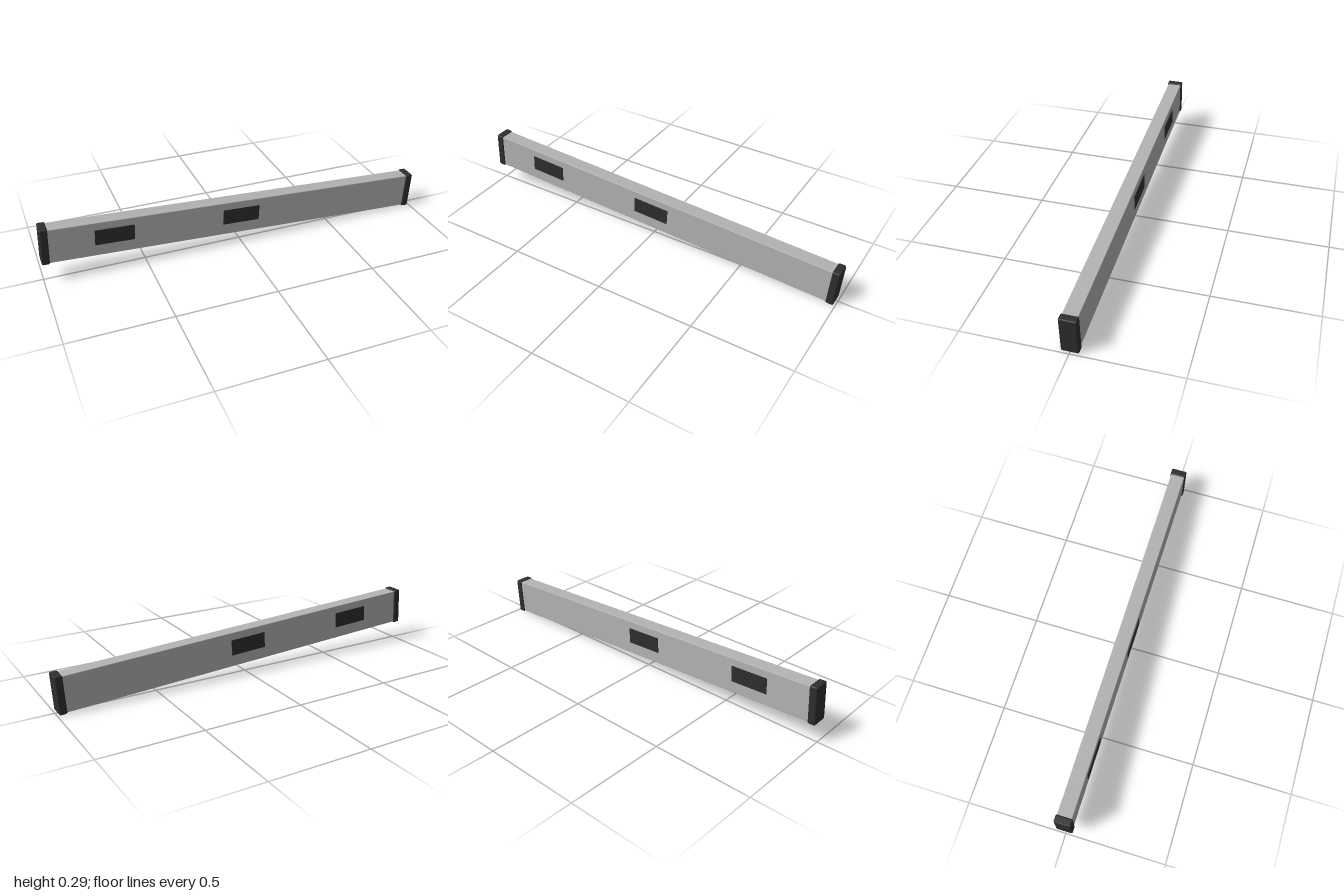
import * as THREE from 'three';
import { RoundedBoxGeometry } from 'three/addons/geometries/RoundedBoxGeometry.js';

const LENGTH = 1.993, HEIGHT = 0.189, DEPTH = 0.082, CAP = 0.038;

export function createModel() {
  const aluminium = new THREE.MeshStandardMaterial({ name: 'aluminium grey', color: 0xb2b3b4 });
  const rubber = new THREE.MeshStandardMaterial({ name: 'rubber black', color: 0x2e2e2e });

  const model = new THREE.Group();
  model.name = 'spiritLevel';

  // the whole bar leans down towards +x
  const bar = new THREE.Group();
  bar.name = 'tiltedBar';
  bar.position.y = 0.1465;
  bar.rotation.z = THREE.MathUtils.degToRad(-3);
  model.add(bar);

  const addBlock = (name, size, radius, material, x, y = 0) => {
    const geometry = radius
      ? new RoundedBoxGeometry(...size, 3, radius)
      : new THREE.BoxGeometry(...size);
    const mesh = new THREE.Mesh(geometry, material);
    mesh.name = name;
    mesh.position.set(x, y, 0);
    bar.add(mesh);
  };

  // metal beam between the end caps
  addBlock('beam', [LENGTH - CAP, HEIGHT - 0.01, 0.072], 0.003, aluminium, 0);

  // rounded end caps
  for (const side of [-1, 1]) {
    addBlock(side < 0 ? 'rightEndCap' : 'leftEndCap', [CAP, HEIGHT, DEPTH], 0.007, rubber,
      side * (LENGTH - CAP) / 2);
  }

  // vial blocks passing through the beam, showing on front and back
  addBlock('endVialBlock', [0.192, 0.08, 0.078], 0, rubber, -0.647, 0.01);
  addBlock('middleVialBlock', [0.192, 0.08, 0.078], 0, rubber, 0, 0.01);

  return model;
}
